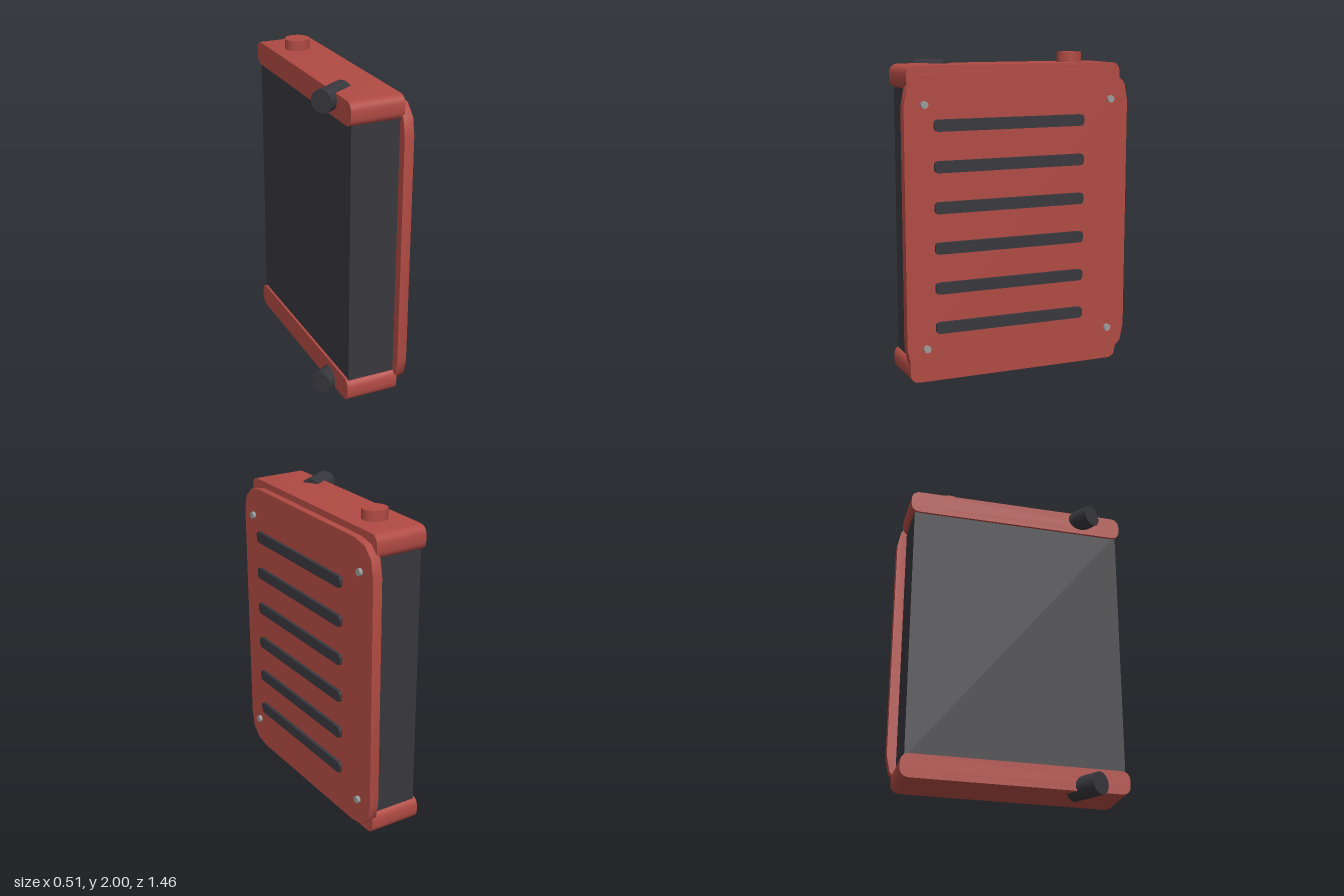
import * as THREE from 'three';
import { toCreasedNormals } from 'three/addons/utils/BufferGeometryUtils.js';

const red = new THREE.MeshStandardMaterial({ color: 0xb04a43 });
red.name = 'red paint';
const dark = new THREE.MeshStandardMaterial({ color: 0x38373d });
dark.name = 'dark rubber';
const steel = new THREE.MeshStandardMaterial({ color: 0x9a9a9a });
steel.name = 'steel';

// Plate with rounded corners in the z-y plane, running from x0 to x1
function roundedPlate(width, height, r, x0, x1, segments) {
  const w = width / 2, h = height / 2;
  const s = new THREE.Shape();
  s.moveTo(-w + r, -h);
  s.lineTo(w - r, -h);
  s.quadraticCurveTo(w, -h, w, -h + r);
  s.lineTo(w, h - r);
  s.quadraticCurveTo(w, h, w - r, h);
  s.lineTo(-w + r, h);
  s.quadraticCurveTo(-w, h, -w, h - r);
  s.lineTo(-w, -h + r);
  s.quadraticCurveTo(-w, -h, -w + r, -h);
  const geo = new THREE.ExtrudeGeometry(s, { depth: x1 - x0, bevelEnabled: false, curveSegments: segments });
  geo.rotateY(Math.PI / 2).translate(x0, 0, 0);
  return toCreasedNormals(geo, 0.7);
}

export function createModel() {
  const group = new THREE.Group();
  const add = (name, geo, mat, x, y, z) => {
    const mesh = new THREE.Mesh(geo, mat);
    mesh.name = name;
    mesh.position.set(x, y, z);
    group.add(mesh);
    return mesh;
  };

  // Cooling core between the two tanks
  add('core', new THREE.BoxGeometry(0.3, 1.66, 1.34), dark, 0.025, 0.987, 0);

  // End tanks, each with an angled hose stub
  const tankGeo = roundedPlate(1.39, 0.145, 0.06, -0.14, 0.19, 6);
  const hoseGeo = new THREE.CylinderGeometry(0.07, 0.07, 0.215, 24).rotateZ(Math.PI / 2);
  for (const [side, tankY, hoseY] of [['top', 1.865, 1.893], ['bottom', 0.108, 0.07]]) {
    add(side + 'Tank', tankGeo, red, 0, tankY, 0);
    add(side + 'Hose', hoseGeo, dark, -0.127, hoseY, 0.425).rotation.y = 0.56;
  }

  // Filler cap
  add('fillerCap', new THREE.CylinderGeometry(0.077, 0.077, 0.08, 32), red, 0.023, 1.96, -0.425);

  // Side cover panel
  add('coverPanel', roundedPlate(1.455, 1.82, 0.19, 0.175, 0.235, 3), red, 0, 0.987, 0);

  // Louvre strips on the cover
  const louvreGeo = roundedPlate(0.97, 0.07, 0.025, 0.225, 0.255, 3);
  for (let i = 0; i < 6; i++) add('louvre' + (i + 1), louvreGeo, dark, 0, 0.38 + i * 0.2425, 0.063);

  // Corner bolts
  const boltGeo = new THREE.CylinderGeometry(0.023, 0.023, 0.03, 8).rotateZ(Math.PI / 2);
  for (const y of [0.257, 1.715])
    for (const z of [-0.606, 0.606]) add('bolt', boltGeo, steel, 0.24, y, z);

  return group;
}
